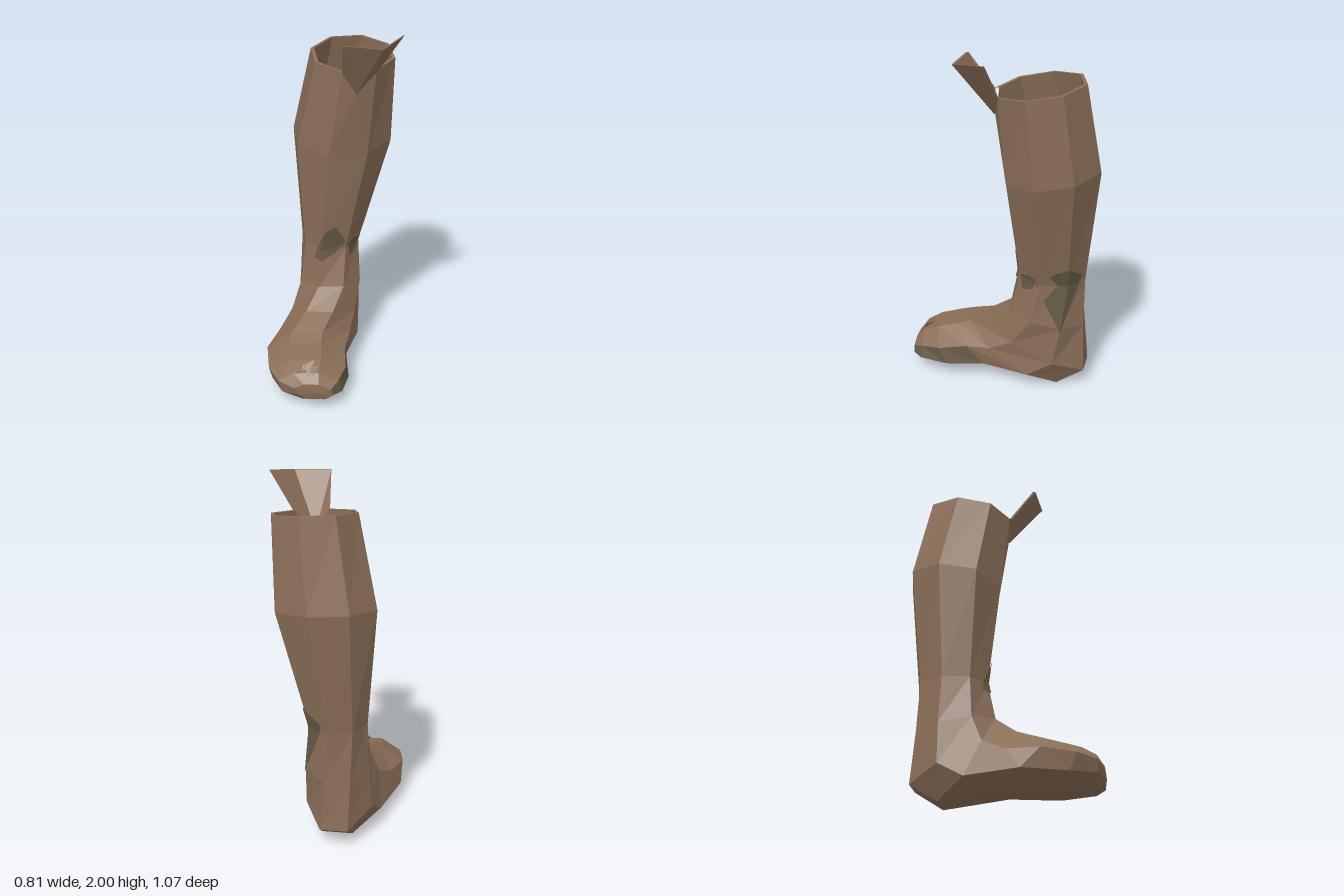
import * as THREE from 'three';

const leather = new THREE.MeshStandardMaterial({ color: 0x8a6e57, flatShading: true });
leather.name = 'brown leather';
const lining = new THREE.MeshStandardMaterial({ color: 0x655945, flatShading: true, side: THREE.DoubleSide });
lining.name = 'olive lining';

// Octagonal cross-sections from the rim, down the leg and round the heel to the toes:
// middle of the front side, middle of the back side, half width, sideways slant
const N = 8;
const rings = [
  [[.16, 1.795, .035], [.18, 1.87, -.43], .225, .02], // rim
  [[.11, 1.3, -.02], [.14, 1.37, -.53], .268, -.06], // calf
  [[.05, .68, -.1], [.07, .68, -.47], .16, 0], // ankle
  [[.02, .46, -.05], [.09, .39, -.475], .175, -.15], // instep bend
  [[-.07, .36, .06], [.11, .1, -.49], .18, -.28], // back of the heel
  [[-.16, .3, .17], [.07, 0, -.34], .2, -.28], // underside of the heel
  [[-.19, .27, .24], [-.12, .02, 0], .22, -.2], // arch
  [[-.21, .235, .37], [-.15, .015, .28], .215, -.15], // ball
  [[-.22, .2, .45], [-.17, .035, .46], .165, -.18], // toes
  [[-.2, .155, .5], [-.17, .06, .505], .1, -.25], // toe tip
].map(([front, back, width, slant]) => Array.from({ length: N }, (_, i) => {
  const angle = (i + 0.5) * Math.PI * 2 / N, k = 1 / Math.cos(Math.PI / N);
  const c = Math.cos(angle) * k, s = Math.sin(angle) * k * width;
  const side = [-s, 0, s * slant];
  return front.map((f, q) => (f + back[q]) / 2 + (f - back[q]) / 2 * c + side[q]);
}));

function geometryFrom(tris) {
  const g = new THREE.BufferGeometry();
  g.setAttribute('position', new THREE.Float32BufferAttribute(tris.flat(2), 3));
  g.computeVertexNormals();
  return g;
}

// Triangles between successive rings; skip(k, i) leaves a cell out
function loft(list, skip = () => false) {
  const tris = [];
  for (let k = 0; k < list.length - 1; k++) {
    for (let i = 0; i < N; i++) {
      if (skip(k, i)) continue;
      const j = (i + 1) % N, a = list[k][i], b = list[k][j], c = list[k + 1][j], d = list[k + 1][i];
      tris.push([a, b, c], [a, c, d]);
    }
  }
  return tris;
}

const fan = (centre, pts) => pts.map((p, i) => [centre, p, pts[(i + 1) % pts.length]]);

// Front panel of the shaft with a V cut down to a notch point
const notched = (top, low, n) => [[top[0], low[0], n], [n, low[0], low[7]], [n, low[7], top[7]]];

// Ring drawn in toward its centre
function inset(ring) {
  const cx = ring.reduce((s, p) => s + p[0], 0) / N, cz = ring.reduce((s, p) => s + p[2], 0) / N;
  return ring.map(([x, y, z]) => [cx + (x - cx) * 0.92, y, cz + (z - cz) * 0.92]);
}

// Point on the outer skin at place u around and ring position v, raised a little
function skin([u, v]) {
  const i = Math.floor(u), k = Math.floor(v), j = (i + 1) % N;
  const mix = (a, b, t) => a.map((n, q) => n + (b[q] - n) * t);
  const p = mix(mix(rings[k][i % N], rings[k][j], u - i), mix(rings[k + 1][i % N], rings[k + 1][j], u - i), v - k);
  const dx = p[0] - 0.06, dz = p[2] + 0.28, len = Math.hypot(dx, dz);
  return [p[0] + dx / len * 0.007, p[1], p[2] + dz / len * 0.007];
}

// Thin plate with thickness along an offset
function slab(pts, off) {
  const back = pts.map((p) => p.map((n, q) => n + off[q]));
  const tris = [];
  for (let i = 1; i < pts.length - 1; i++) {
    tris.push([pts[0], pts[i], pts[i + 1]], [back[0], back[i + 1], back[i]]);
  }
  pts.forEach((p, i) => {
    const j = (i + 1) % pts.length;
    tris.push([p, back[i], back[j]], [p, back[j], pts[j]]);
  });
  return tris;
}

export function createModel() {
  const model = new THREE.Group();
  model.name = 'boot';
  const add = (name, tris, material) => {
    const m = new THREE.Mesh(geometryFrom(tris), material);
    m.name = name;
    model.add(m);
  };

  // Leg, open in a V at the front of the rim
  add('legShaft', [
    ...loft(rings.slice(0, 4), (k, i) => k === 0 && i === 7),
    ...notched(rings[0], rings[1], [.14, 1.67, .04]),
  ], leather);

  // Foot, with darker worn cells along one side of the toes
  const foot = rings.slice(3);
  const worn = (k, i) => k >= 3 && i === 5;
  add('foot', [...loft(foot, worn), ...fan([-.17, .105, .515], rings[9])], leather);
  add('wornToeSide', loft(foot, (k, i) => !worn(k, i)), lining);

  // Rim edge and inside of the shaft
  const inner = rings.slice(0, 4).map(inset);
  add('rimAndUpperInside', [
    ...loft([inner[1], inner[0], rings[0]], (k, i) => i === 7),
    ...notched(inner[0], inner[1], [.14, 1.67, .026]).map(([a, b, c]) => [a, c, b]),
  ], leather);
  add('lowerInside', [
    ...loft([inner[3], inner[2], inner[1]]),
    ...fan([.05, .42, -.28], [...inner[3]].reverse()),
  ], lining);

  // Folded flap at the front of the rim
  add('flap', slab([[.14, 1.67, .045], [.26, 1.79, .038], [.38, 2, .115], [.23, 1.97, .265], [.035, 1.98, .19], [.06, 1.79, .05]], [0, 0, -.014]), leather);

  // Worn patches round the ankle, each fanned from a point on the ankle ring
  const patches = {
    sidePatch: [[5, 2], [[5, 3.1], [4.4, 2], [4.3, 1.93], [5, 1.83], [5.4, 1.86], [6.2, 2]]],
    frontPatch: [[8, 2], [[8, 2.3], [7.5, 2.1], [7.05, 1.93], [7.6, 1.75], [8, 1.82], [8.3, 2], [8.4, 2.25]]],
    smallPatch: [[6.5, 2], [[6.3, 2.15], [6.15, 1.95], [6.5, 1.92], [6.9, 1.95], [6.7, 2.25]]],
  };
  for (const [name, [centre, pts]] of Object.entries(patches)) {
    add(name, fan(skin(centre), pts.map(skin)), lining);
  }

  // Small torn scraps over the toe cap
  let seed = 7;
  const rnd = () => (seed = (seed * 16807) % 2147483647) / 2147483647;
  const scraps = [];
  for (let i = 0; i < 14; i++) {
    const t = i / 13, a = [-.38 + .17 * t, .17 + .04 * t + .03 * rnd(), .31 + .12 * t];
    const b = [a[0] + .04 + .05 * rnd(), a[1] + .03 * rnd(), a[2] + .06 * (rnd() - .5)];
    const c = [a[0] + .02 * rnd(), a[1] - .03 - .06 * rnd(), a[2] + .05];
    scraps.push(...slab([a, c, b], [0, -.005, -.005]));
  }
  add('toeScraps', scraps, leather);

  return model;
}
